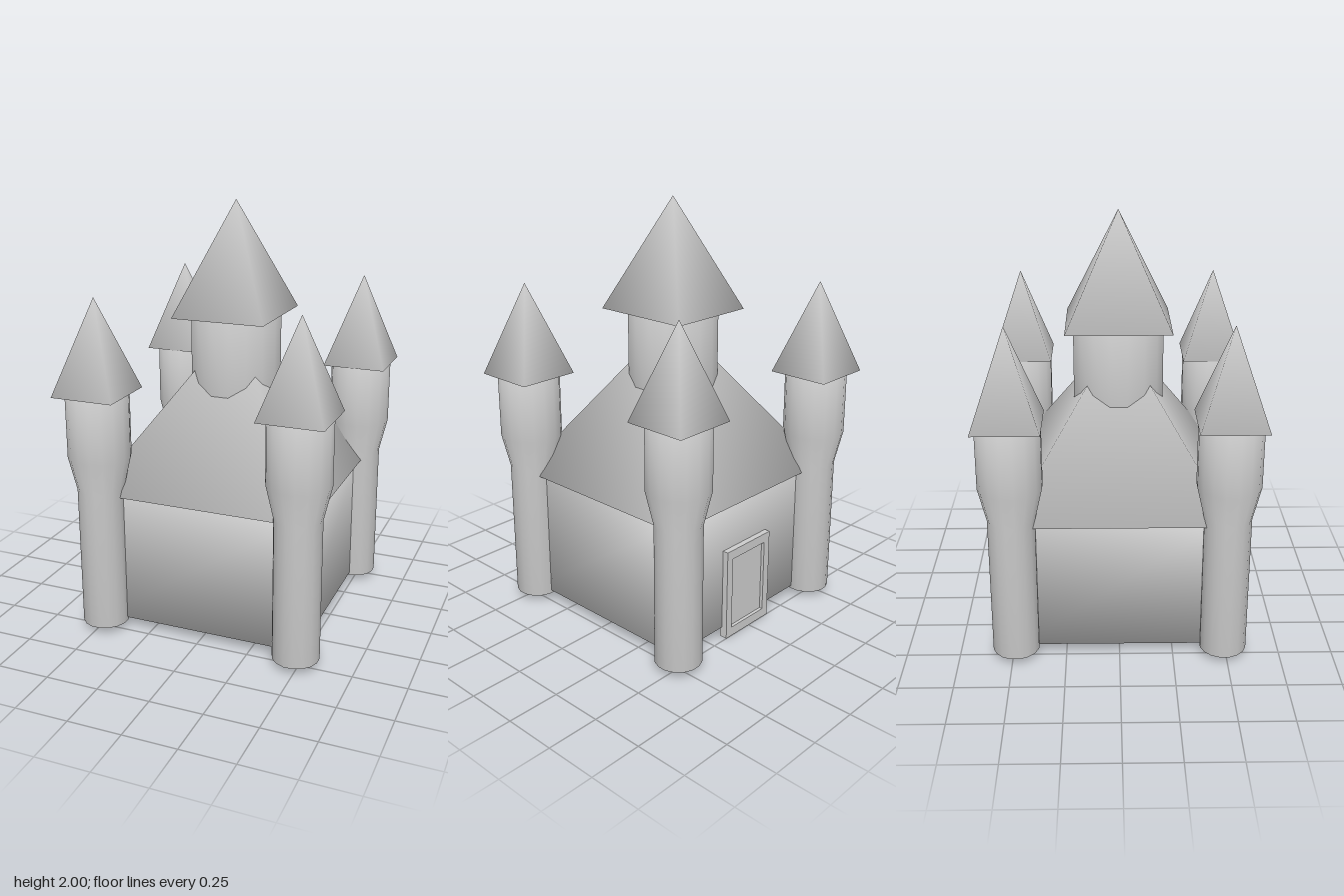
import * as THREE from 'three';
import { mergeVertices } from 'three/addons/utils/BufferGeometryUtils.js';

const material = new THREE.MeshStandardMaterial({ color: 0xcccccc });

// Weld all corners so the shading runs smoothly over every edge
function weld(geometry) {
  geometry.deleteAttribute('normal');
  geometry.deleteAttribute('uv');
  const welded = mergeVertices(geometry, 1e-4);
  welded.computeVertexNormals();
  return welded;
}

function addMesh(parent, name, geometry, x = 0, y = 0, z = 0) {
  const mesh = new THREE.Mesh(geometry, material);
  mesh.name = name;
  mesh.position.set(x, y, z);
  parent.add(mesh);
  return mesh;
}

// Four-sided roof with its base at y = 0 and its sides along x and z
function pyramid(halfX, halfZ, height) {
  const g = new THREE.ConeGeometry(Math.SQRT2, height, 4);
  g.rotateY(Math.PI / 4);
  g.scale(halfX, 1, halfZ);
  g.translate(0, height / 2, 0);
  return weld(g);
}

// Closed round tower from [radius, y] pairs
function roundTower(profile) {
  const points = profile.map(([r, y]) => new THREE.Vector2(r, y));
  const g = new THREE.LatheGeometry(points, 16);
  g.rotateY(Math.PI / 16);
  return weld(g);
}

function rectangle(PathType, x0, y0, x1, y1) {
  return new PathType([[x0, y0], [x1, y0], [x1, y1], [x0, y1]].map(([x, y]) => new THREE.Vector2(x, y)));
}

export function createModel() {
  const castle = new THREE.Group();
  castle.name = 'castle';

  // Main hall and its roof
  addMesh(castle, 'hall', weld(new THREE.BoxGeometry(0.98, 0.64, 0.944)), 0, 0.37, 0);
  addMesh(castle, 'hallRoof', pyramid(0.525, 0.505, 0.755), 0, 0.68, 0);

  // Central tower rising through the roof
  addMesh(castle, 'centralTower', roundTower([[0, 0.9], [0.213, 0.9], [0.213, 1.485], [0, 1.485]]));
  addMesh(castle, 'centralTowerRoof', pyramid(0.222, 0.243, 0.52), 0, 1.48, 0);

  // Corner towers, wider at the top
  const shaft = roundTower([[0, 0.035], [0.109, 0.035], [0.109, 0.71], [0.146, 0.87], [0.146, 1.175], [0, 1.175]]);
  const cap = pyramid(0.15, 0.15, 0.435);
  for (const sx of [-1, 1]) {
    for (const sz of [-1, 1]) {
      const tower = new THREE.Group();
      tower.name = `${sz > 0 ? 'front' : 'back'}${sx > 0 ? 'Left' : 'Right'}Tower`;
      tower.position.set(sx * 0.481, 0, sz * 0.485);
      addMesh(tower, 'towerShaft', shaft);
      addMesh(tower, 'towerRoof', cap, 0, 1.17, 0);
      castle.add(tower);
    }
  }

  // Door with a raised frame in the back wall
  const door = new THREE.Group();
  door.name = 'door';
  door.position.set(0.013, 0, -0.5);
  const outline = rectangle(THREE.Shape, -0.153, 0, 0.153, 0.45);
  outline.holes.push(rectangle(THREE.Path, -0.115, 0.045, 0.115, 0.405));
  addMesh(door, 'doorFrame', new THREE.ExtrudeGeometry(outline, { depth: 0.038, bevelEnabled: false }));
  addMesh(door, 'doorPanel', new THREE.BoxGeometry(0.24, 0.37, 0.02), 0, 0.225, 0.026);
  castle.add(door);

  return castle;
}
